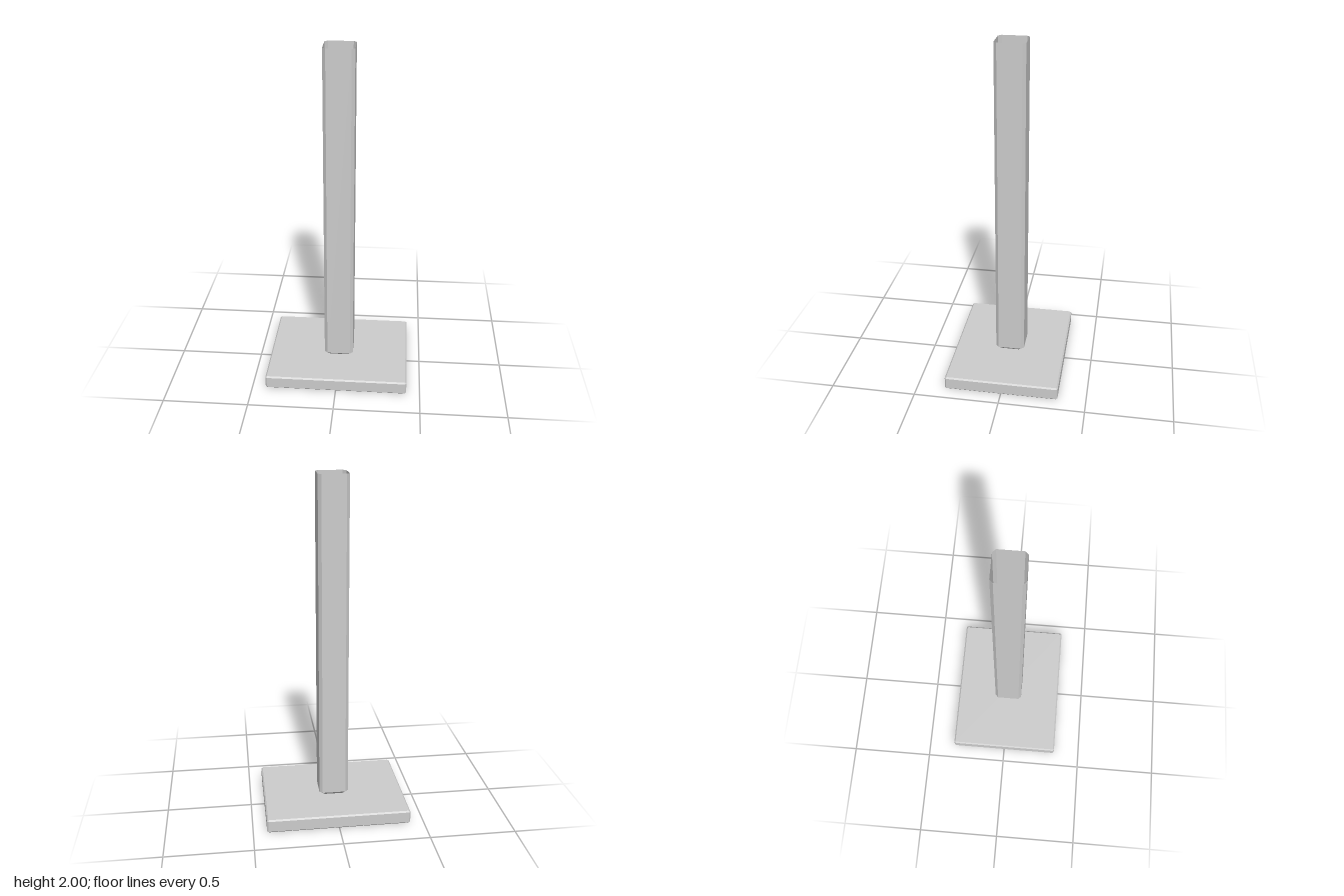
import * as THREE from 'three';

// Rectangle with cut corners at height y, counter-clockwise from above
function ring(y, hx, hz, c) {
  return [
    [hx, c - hz], [hx, hz - c], [hx - c, hz], [c - hx, hz],
    [-hx, hz - c], [-hx, c - hz], [c - hx, -hz], [hx - c, -hz],
  ].map(([x, u]) => new THREE.Vector3(x, y, -u));
}

// Joins rings from bottom to top with flat faces, optionally closing both ends
function loft(rings, capped) {
  const points = [];
  const n = rings[0].length;
  for (let r = 0; r < rings.length - 1; r++) {
    const lo = rings[r], hi = rings[r + 1];
    for (let i = 0; i < n; i++) {
      const j = (i + 1) % n;
      points.push(lo[i], lo[j], hi[j], lo[i], hi[j], hi[i]);
    }
  }
  if (capped) {
    const bottom = rings[0], top = rings[rings.length - 1];
    for (let i = 1; i < n - 1; i++) {
      points.push(bottom[0], bottom[i + 1], bottom[i]);
      points.push(top[0], top[i], top[i + 1]);
    }
  }
  const geometry = new THREE.BufferGeometry().setFromPoints(points);
  geometry.computeVertexNormals();
  return geometry;
}

export function createModel() {
  const model = new THREE.Group();
  model.name = 'postOnBase';
  const grey = new THREE.MeshStandardMaterial({ color: 0xcccccc, side: THREE.DoubleSide });
  grey.name = 'lightGrey';

  // Base plate with narrow bevels on every edge
  const w = 0.42, d = 0.335, h = 0.08, b = 0.008;
  const plate = new THREE.Mesh(loft([
    ring(0, w - b, d - b, 0.004),
    ring(b, w, d, b),
    ring(h - b, w, d, b),
    ring(h, w - b, d - b, 0.004),
  ], true), grey);
  plate.name = 'basePlate';

  // Hollow thin-walled post, open at the top, tapering in at the foot
  const post = new THREE.Mesh(loft([
    ring(h, 0.069, 0.069, 0.016),
    ring(0.098, 0.087, 0.087, 0.018),
    ring(2, 0.087, 0.087, 0.018),
  ], false), grey);
  post.name = 'hollowPost';

  model.add(plate, post);
  return model;
}
